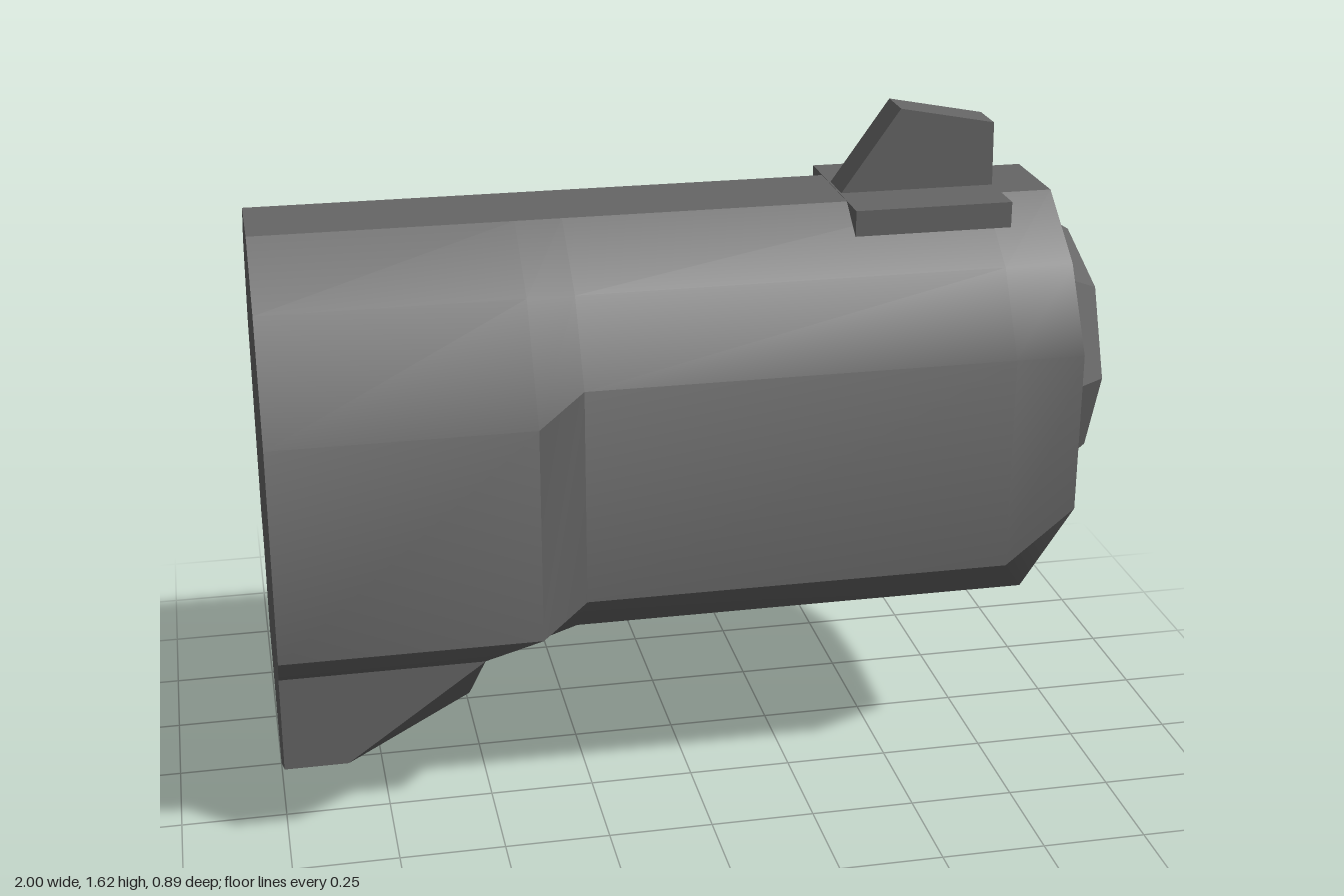
import * as THREE from 'three';
import { toCreasedNormals } from 'three/addons/utils/BufferGeometryUtils.js';

const AXIS_Y = 0.993; // height of the barrel axis
const BORE = 0.142;

// Joins half sections of [x, y, z] points, mirrored across z; the last point lies at z = 0.
function loft(halves, capFront) {
  const rings = halves.map(h => [...h, ...h.slice(0, -1).reverse().map(([x, y, z]) => [x, y, -z])]);
  const n = rings[0].length, mid = (n - 1) / 2, index = [];
  for (let s = 0; s < rings.length - 1; s++) {
    for (let i = 0; i < n; i++) {
      const j = (i + 1) % n;
      const a = s * n + i, a2 = s * n + j, b = a + n, b2 = a2 + n;
      // diagonals are mirrored so both sides match
      if (i === mid - 1 || i > mid) index.push(a, a2, b2, a, b2, b);
      else index.push(a, a2, b, b, a2, b2);
    }
  }
  const last = (rings.length - 1) * n;
  for (let i = 1; i < n - 1; i++) {
    index.push(0, i + 1, i);
    if (capFront) index.push(last, last + i, last + i + 1);
  }
  const geo = new THREE.BufferGeometry();
  geo.setAttribute('position', new THREE.Float32BufferAttribute(rings.flat(2), 3));
  geo.setIndex(index);
  return geo;
}

// Regular polygon outline with one corner straight up
function polygon(sides, radius) {
  return Array.from({ length: sides }, (_, i) => {
    const t = Math.PI / 2 + (i / sides) * Math.PI * 2;
    return new THREE.Vector2(Math.cos(t) * radius, AXIS_Y + Math.sin(t) * radius);
  });
}

// Flat plate facing +x, pierced by the bore
function piercedPlate(outline, x) {
  const shape = new THREE.Shape(outline);
  shape.holes.push(new THREE.Path(polygon(6, BORE)));
  return new THREE.ShapeGeometry(shape).rotateY(Math.PI / 2).translate(x, 0, 0);
}

export function createModel() {
  const group = new THREE.Group();
  const steel = new THREE.MeshStandardMaterial({ color: 0x666666 });
  steel.name = 'grey steel';

  const add = (name, geo) => {
    const mesh = new THREE.Mesh(toCreasedNormals(geo, THREE.MathUtils.degToRad(34)), steel);
    mesh.name = name;
    group.add(mesh);
  };

  // Slide and frame: wide at the rear, narrower ahead, chamfered underneath at the nose
  const section = (x, side, p3, p4, p5) => [
    [x, 1.42, 0.115], [x, 1.29, 0.29], side === 0.445 ? [x, 1.03, side] : [x, 1.1, side], p3, p4, p5,
  ];
  const body = [
    section(-1, 0.445, [-1, 0.505, 0.445], [-1, 0.43, 0.375], [-1, 0.27, 0]),
    section(-0.39, 0.445, [-0.39, 0.505, 0.445], [-0.52, 0.43, 0.375], [-0.52, 0.27, 0]),
    section(-0.28, 0.405, [-0.28, 0.575, 0.405], [-0.28, 0.435, 0.24], [-0.28, 0.335, 0]),
    section(0.74, 0.405, [0.74, 0.575, 0.405], [0.84, 0.435, 0.24], [0.65, 0.335, 0]),
    section(0.905, 0.405, [0.905, 0.71, 0.405], [0.905, 0.633, 0.24], [0.905, 0.52, 0]),
  ];
  add('slideBody', loft(body, false));

  // Nose plate closing the body around the bore
  const nose = body[4].map(([, y, z]) => new THREE.Vector2(-z, y));
  const noseMirror = nose.slice(0, -1).reverse().map(p => new THREE.Vector2(-p.x, p.y));
  add('nosePlate', piercedPlate([...nose, ...noseMirror], 0.905));

  // Keel-shaped block under the rear
  add('lowerBlock', loft([
    [[-1, 0.43, 0.375], [-1, 0.195, 0.375], [-1, 0, 0]],
    [[-0.85, 0.43, 0.375], [-0.85, 0.195, 0.375], [-0.85, 0, 0]],
    [[-0.52, 0.43, 0.375], [-0.52, 0.429, 0.375], [-0.52, 0.15, 0]],
  ], true));

  // Octagonal muzzle collar with its front ring
  add('muzzleCollar', new THREE.CylinderGeometry(0.288, 0.352, 0.1, 8, 1, true)
    .rotateZ(-Math.PI / 2).translate(0.95, AXIS_Y, 0));
  add('muzzleRing', piercedPlate(polygon(8, 0.288), 1));

  // Six-sided bore, wound to face inward, and its floor
  add('boreWall', new THREE.CylinderGeometry(BORE, BORE, 0.3, 6, 1, true, Math.PI / 2, -Math.PI * 2)
    .rotateZ(-Math.PI / 2).translate(0.85, AXIS_Y, 0));
  add('boreFloor', new THREE.CircleGeometry(BORE, 6, Math.PI / 2)
    .rotateY(Math.PI / 2).translate(0.7, AXIS_Y, 0));

  // Front sight on its base
  add('sightBase', new THREE.BoxGeometry(0.38, 0.062, 0.4).translate(0.59, 1.39, 0));
  const blade = new THREE.Shape([[0.4, 1.415], [0.545, 1.62], [0.777, 1.575], [0.78, 1.415]]
    .map(([x, y]) => new THREE.Vector2(x, y)));
  add('sightBlade', new THREE.ExtrudeGeometry(blade, { depth: 0.1, bevelEnabled: false })
    .translate(0, 0, -0.05));

  return group;
}
